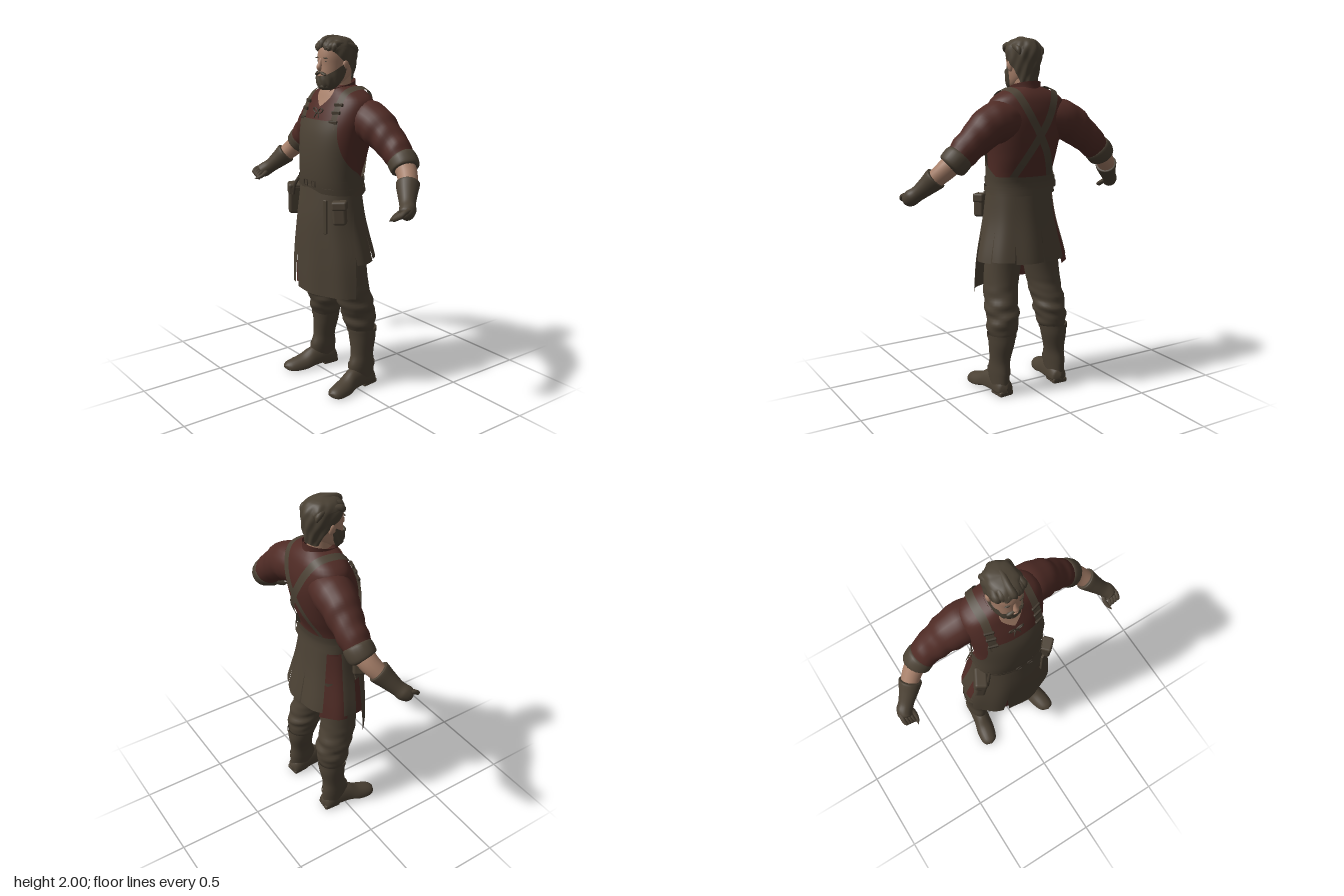
import * as THREE from 'three';
import { mergeVertices } from 'three/addons/utils/BufferGeometryUtils.js';
import { RoundedBoxGeometry } from 'three/addons/geometries/RoundedBoxGeometry.js';

const V = (x, y, z) => new THREE.Vector3(x, y, z);
const TAU = Math.PI * 2;
const mat = (name, color) => new THREE.MeshStandardMaterial({ name, color, side: THREE.DoubleSide });

// Smooth interpolation of rows [key, ...values]
function interp(rows) {
  const slope = (i, c) => {
    const a = rows[Math.max(i - 1, 0)], b = rows[Math.min(i + 1, rows.length - 1)];
    return (b[c] - a[c]) / (b[0] - a[0]);
  };
  return (key) => {
    const k = Math.min(Math.max(key, rows[0][0]), rows[rows.length - 1][0]);
    let i = 0;
    while (i < rows.length - 2 && k > rows[i + 1][0]) i++;
    const h = rows[i + 1][0] - rows[i][0], t = (k - rows[i][0]) / h, t2 = t * t, t3 = t2 * t;
    return rows[i].map((a, c) => c === 0 ? k : a * (2 * t3 - 3 * t2 + 1) + rows[i + 1][c] * (3 * t2 - 2 * t3)
      + h * (slope(i, c) * (t3 - 2 * t2 + t) + slope(i + 1, c) * (t3 - t2)));
  };
}

// Grid surface from f(u, v)
function patch(f, nu = 32, nv = 24) {
  const pos = [], idx = [], w = nu + 1;
  for (let j = 0; j <= nv; j++) for (let i = 0; i <= nu; i++) pos.push(...f(i / nu, j / nv).toArray());
  for (let j = 0; j < nv; j++) for (let i = 0; i < nu; i++) {
    const a = j * w + i;
    idx.push(a, a + 1, a + w + 1, a, a + w + 1, a + w);
  }
  let g = new THREE.BufferGeometry();
  g.setAttribute('position', new THREE.Float32BufferAttribute(pos, 3));
  g.setIndex(idx);
  g = mergeVertices(g, 1e-5);
  g.computeVertexNormals();
  return g;
}

// Upright body surface from rows [y, centreX, halfWidth, frontZ, backZ]; angle 0 faces the front
function loft(rows, p = 1) {
  const at = interp(rows), pw = (s) => Math.sign(s) * Math.abs(s) ** p;
  const s = (y, a, off = 0) => {
    const [, cx, rx, zf, zb] = at(y);
    return V(cx + (rx + off) * pw(Math.sin(a)), y, (zf + zb) / 2 + ((zf - zb) / 2 + off) * pw(Math.cos(a)));
  };
  s.full = (y0, y1, off = 0, nv = 24) => patch((u, v) => s(y0 + (y1 - y0) * v, u * TAU, off), 40, nv);
  return s;
}

// Round limb along points [x, y, z, radius]
function limb(pts, nv = 20, nu = 18, wrinkle = 0) {
  const curve = new THREE.CatmullRomCurve3(pts.map((p) => V(p[0], p[1], p[2])));
  const fr = curve.computeFrenetFrames(nv), rad = interp(pts.map((p, i) => [i / (pts.length - 1), p[3]]));
  return patch((u, v) => {
    const j = Math.round(v * nv), a = u * TAU;
    const r = Math.max(rad(v)[1], 0) * (1 + wrinkle * v * Math.sin(v * 30 + 2.5 * Math.sin(a)) * Math.cos(a + v * 5));
    return curve.getPoint(v).addScaledVector(fr.normals[j], r * Math.cos(a)).addScaledVector(fr.binormals[j], r * Math.sin(a));
  }, nu, nv);
}

function flipped(g) {
  const m = g.clone().scale(-1, 1, 1), a = m.index.array;
  for (let i = 0; i < a.length; i += 3) [a[i], a[i + 1]] = [a[i + 1], a[i]];
  m.computeVertexNormals();
  return m;
}

export function createModel() {
  const root = new THREE.Group();
  root.name = 'craftsman';
  const leather = mat('leather', 0x4b4134), cloth = mat('red cloth', 0x4f2b25), skin = mat('skin', 0xa67f69);
  const hair = mat('hair', 0x4a4134), dark = mat('dark details', 0x40372c);
  const add = (name, geo, m) => {
    const mesh = new THREE.Mesh(geo, m);
    mesh.name = name;
    root.add(mesh);
  };
  const pair = (name, geo, m) => { add(name + 'Left', geo, m); add(name + 'Right', flipped(geo), m); };
  const ball = (x, y, z, sx, sy, sz, rz = 0) => mergeVertices(
    new THREE.SphereGeometry(1, 14, 10).scale(sx, sy, sz).rotateZ(rz).translate(x, y, z));
  const box = (w, h, d, r, x, y, z, ry = 0, rz = 0) => mergeVertices(
    new RoundedBoxGeometry(w, h, d, 2, r).rotateZ(rz).rotateY(ry).translate(x, y, z));

  // Shirt body
  const torso = loft([[1.12, 0, .185, .14, -.12], [1.22, 0, .182, .16, -.115], [1.35, 0, .193, .165, -.16],
    [1.48, 0, .213, .15, -.187], [1.58, 0, .228, .115, -.19], [1.66, 0, .215, .075, -.172],
    [1.7, 0, .16, .055, -.15], [1.735, 0, .068, .03, -.115]], .88);
  add('shirt', torso.full(1.12, 1.735, 0, 36), cloth);
  add('openNeckline', patch((u, v) => torso(1.62 + .095 * v, (u - .5) * .8 * v, .005), 12, 8), skin);
  const collar = loft([[1.63, 0, .1, .085, -.15], [1.7, 0, .083, .068, -.128], [1.76, 0, .085, .062, -.128]]);
  add('collar', patch((u, v) => {
    const e = .2 + .25 * v, a = e + u * (TAU - 2 * e), p = collar(1.665 + .075 * v, a);
    p.y -= .024 * Math.cos(a);
    return p;
  }, 36, 6), cloth);

  // Neckline lacing
  for (const s of [-1, 1]) {
    add('laceLoop', new THREE.TorusGeometry(.016, .004, 6, 14).scale(1.3, .7, 1).rotateZ(s * .4).translate(s * .022, 1.6, .112), dark);
    add('laceEnd', limb([[0, 1.595, .112, .004], [s * .015, 1.575, .121, .004], [s * .02, 1.56, .127, .003]], 6, 6), dark);
  }

  // Sleeves, forearms, gauntlets
  pair('sleeve', limb([[.06, 1.56, -.08, .085], [.165, 1.555, -.08, .11], [.245, 1.532, -.085, .109], [.32, 1.48, -.094, .095],
    [.4, 1.415, -.1, .083], [.47, 1.35, -.095, .072]], 40, 22, .06), cloth);
  pair('rolledCuff', limb([[.43, 1.39, -.1, .06], [.44, 1.38, -.1, .078], [.465, 1.355, -.098, .081],
    [.487, 1.33, -.092, .075], [.492, 1.325, -.09, .05]], 14), leather);
  pair('forearm', limb([[.45, 1.37, -.098, .06], [.52, 1.305, -.075, .054], [.6, 1.22, -.01, .042]]), skin);
  pair('gauntlet', limb([[.553, 1.272, -.05, .04], [.555, 1.27, -.048, .062], [.59, 1.228, -.015, .052],
    [.63, 1.185, .02, .042], [.658, 1.16, .045, .044], [.668, 1.145, .07, .036], [.67, 1.137, .09, .002]], 28), leather);
  for (let i = 0; i < 4; i++) {
    const x = .638 + i * .016, y = 1.135 + i * .008;
    pair('finger' + i, limb([[x, y + .015, .06, .013], [x + .003, y + .006, .092, .012],
      [x - .004, y - .015, .112, .011], [x - .016, y - .025, .104, .002]], 10, 8), leather);
  }
  pair('thumb', limb([[.635, 1.165, .035, .016], [.618, 1.14, .075, .013], [.622, 1.122, .112, .011], [.63, 1.118, .14, .001]], 10, 8), leather);

  // Trousers and boots
  const hips = loft([[.78, 0, .1, .06, -.08], [.9, 0, .19, .12, -.13], [1.2, 0, .18, .15, -.11]]);
  add('trouserSeat', hips.full(.78, 1.2), leather);
  const leg = loft([[.33, .172, .066, .005, -.125], [.37, .166, .084, .03, -.148], [.43, .16, .09, .045, -.152],
    [.5, .157, .093, .068, -.142], [.6, .146, .096, .1, -.115], [.75, .125, .104, .108, -.105], [.95, .1, .105, .11, -.125]]);
  pair('trouserLeg', patch((u, v) => {
    const y = .33 + .62 * v, a = u * TAU, fold = Math.max(0, 1 - Math.abs(y - .46) / .19);
    return leg(y, a, fold * (.005 * Math.sin(y * 62 + 2.5 * Math.sin(a + .6)) + .003 * Math.sin(y * 105 - 3 * Math.cos(a))));
  }, 28, 48), leather);
  const shaft = loft([[.01, .187, .045, -.035, -.138], [.05, .188, .047, .01, -.138], [.13, .187, .053, .03, -.138], [.2, .184, .056, .01, -.132],
    [.3, .176, .073, .012, -.148], [.355, .173, .08, .018, -.148]]);
  pair('bootShaft', shaft.full(.01, .355), leather);
  pair('bootTopBand', shaft.full(.335, .358, .004, 3), leather);
  pair('ankleStrap', shaft.full(.12, .145, .004, 3), leather);
  pair('bootHeel', box(.09, .03, .1, .01, .186, .015, -.09, .08), leather);
  // Rows: z, centre x, half width, height, sole height
  const foot = interp([[-.145, .183, .004, .05, .02], [-.13, .184, .044, .085, .016], [-.05, .187, .052, .13, .018], [.03, .196, .055, .118, .016],
    [.09, .209, .06, .082, .003], [.16, .222, .052, .06, 0], [.19, .226, .035, .047, .006], [.203, .227, .003, .032, .016]]);
  pair('bootFoot', patch((u, v) => {
    const [z, cx, w, h, sole] = foot(-.145 + .348 * v), a = u * TAU, s = Math.sin(a), mid = sole + .014;
    return V(cx + w * Math.cos(a), s > 0 ? mid + (h - mid) * s : mid - .014 * Math.abs(s) ** .4, z);
  }, 24, 30), leather);

  // Apron bib and waist
  const bibEdge = interp([[1.2, 2.3], [1.28, 1.6], [1.35, 1.17], [1.45, .86], [1.555, .7]]);
  add('apronBib', patch((u, v) => {
    const y = 1.2 + .355 * v;
    return torso(y, (2 * u - 1) * bibEdge(y)[1], .014);
  }, 36, 24), leather);
  add('waistWrap', torso.full(1.14, 1.245, .014, 8), leather);
  add('upperBelt', torso.full(1.19, 1.232, .021, 4), leather);
  add('hipBelt', patch((u, v) => {
    const p = torso(1.165 + .032 * v, u * TAU, .026);
    p.y -= .012 * Math.sin(u * TAU);
    return p;
  }, 40, 4), leather);
  for (const x of [-.02, .05]) add('beltBuckle', new THREE.TorusGeometry(.021, .004, 4, 4, TAU).rotateZ(Math.PI / 4).translate(x, 1.21, .184), dark);

  // Apron skirt: front with a slit, back in overlapping panels
  const skirt = loft([[.56, 0, .305, .205, -.24], [.77, 0, .278, .206, -.203], [1, 0, .222, .2, -.155], [1.2, 0, .194, .178, -.126]]);
  const frontEdge = interp([[.58, 1.2], [.85, 1.36], [1.2, 1.7]]);
  const panel = (name, y0, y1, a0, a1, off, m = leather) => add(name, patch((u, v) => {
    const y = y0 + (y1 - y0) * v, l = a0(y), a = l + (a1(y) - l) * u;
    return skirt(y, a, off + .004 * Math.sin(a * 9) * (1 - v));
  }, 24, 24), m);
  const slit = (y) => .065 * Math.max(0, (.78 - y) / .2);
  panel('apronFrontRight', .6, 1.2, (y) => -frontEdge(y)[1] + .08, (y) => -.36 - slit(y), 0);
  panel('apronFrontLeft', .583, 1.2, (y) => -.36 + slit(y), (y) => frontEdge(y)[1], 0);
  panel('shirtTailFront', .6, .85, () => -.53, () => -.2, -.015, cloth);
  [[1.35, 1.98, .77], [2.02, 2.58, .78], [2.61, 3.24, .77], [3.29, 3.9, .77], [4.46, 4.86, .76]].forEach(([a, b, y0], i) =>
    panel('backPanel' + i, y0, 1.2, (y) => a - .1 * (y - .77), (y) => b + .12 * (y - .77), -.004));
  panel('shirtTailBack', .735, 1.2, () => 3.82, () => 4.58, -.012, cloth);
  panel('shirtTailSide', .76, .96, () => 4.82, () => 5.02, .006, cloth);

  // Shoulder straps: over the shoulder and crossed behind
  const on = (x, y, back) => {
    const a = Math.asin(Math.min(1, Math.abs(x) / torso(y, Math.PI / 2).x) ** (1 / .88));
    return V(x, y, torso(y, back ? Math.PI - a : a).z + (back ? -.01 : .012));
  };
  const path = new THREE.CatmullRomCurve3([on(.135, 1.52), on(.137, 1.6), on(.137, 1.655), V(.135, 1.702, .024), V(.135, 1.722, -.05),
    V(.122, 1.708, -.132), on(.095, 1.65, 1), on(.05, 1.56, 1), on(0, 1.475, 1), on(-.06, 1.37, 1), on(-.12, 1.24, 1)]);
  pair('strap', patch((u, v) => {
    const d = (u - .5) * .042;
    return path.getPoint(v).add(V(d, -.4 * d, 0));
  }, 4, 60), leather);
  for (const y of [1.55, 1.6, 1.64]) {
    const p = on(.136, y);
    pair('strapBuckle', box(.054, .018, .014, .004, p.x, y, p.z - .001, .3), dark);
  }

  // Pouches and hanging tools
  add('largePouch', box(.065, .175, .11, .018, -.218, 1.07, .1, -.5, -.12), leather);
  add('largePouchFlap', box(.073, .07, .12, .016, -.216, 1.13, .1, -.5, -.12), leather);
  add('smallPouch', box(.075, .125, .055, .015, .203, 1.065, .12, .75, .06), leather);
  add('smallPouchFlap', box(.084, .05, .063, .012, .204, 1.11, .121, .75, .06), leather);
  add('hangingStrap', box(.022, .19, .014, .004, .142, 1.04, .172, .45), leather);
  add('toolHandle', limb([[-.17, 1.21, .12, .009], [-.19, 1.16, .14, .009], [-.2, 1.1, .145, .008]], 8, 8), dark);
  add('slungBelt', patch((u, v) => skirt(1.165 - .05 * u + .022 * v, -.5 + 1.5 * u, .006), 20, 2), leather);

  // Head and face
  const head = loft([[1.715, 0, .03, .075, 0], [1.74, 0, .056, .09, -.04], [1.78, 0, .071, .095, -.09], [1.84, 0, .079, .094, -.112],
    [1.9, 0, .082, .094, -.116], [1.95, 0, .073, .075, -.1], [1.985, 0, .03, .02, -.05]], .92);
  add('neck', loft([[1.6, 0, .075, .05, -.12], [1.7, 0, .06, .035, -.105], [1.8, 0, .058, .03, -.1]]).full(1.6, 1.8), skin);
  add('head', head.full(1.715, 1.985), skin);
  add('nose', limb([[0, 1.878, .088, .008], [0, 1.85, .098, .011], [0, 1.826, .104, .015], [0, 1.812, .094, .004]], 12, 10), skin);
  pair('ear', ball(.083, 1.84, -.012, .012, .03, .02, -.15), skin);
  pair('eye', ball(.031, 1.862, .084, .01, .004, .005), dark);
  pair('eyebrow', ball(.033, 1.88, .087, .02, .004, .007, -.08), hair);

  // Beard and moustache
  add('beard', patch((u, v) => {
    const a = (2 * u - 1) * 1.6, top = 1.784 + .075 * (Math.abs(a) / 1.6) ** 2, y = 1.716 + (top - 1.716) * v;
    const p = head(y, a, .011 + .003 * Math.sin(a * 14 + v * 6) - .008 * Math.max(0, v - .7));
    p.y -= .006 * (1 - v);
    return p;
  }, 40, 14), hair);
  add('beardBase', ball(0, 1.728, .055, .05, .022, .047), hair);
  pair('moustache', ball(.022, 1.798, .094, .027, .008, .012, -.3), hair);
  add('mouth', ball(0, 1.787, .104, .014, .004, .005), skin);

  // Wavy hair cap with locks swept back from the forehead
  const cap = loft([[1.755, 0, .062, .05, -.108], [1.8, 0, .075, .09, -.118], [1.87, 0, .09, .098, -.128], [1.93, 0, .092, .1, -.125],
    [1.965, 0, .077, .08, -.105], [1.985, 0, .052, .05, -.075], [1.994, 0, .004, 0, -.02]], .95);
  const hairline = interp([[1.755, 2.15], [1.83, 1.85], [1.87, 1.35], [1.9, 1.05], [1.93, .65], [1.948, 0], [2, 0]]);
  add('hair', patch((u, v) => {
    const y = 1.755 + .239 * v, e = Math.max(0, hairline(y)[1]), a = e + u * (TAU - 2 * e);
    return cap(y, a, (.004 * Math.sin(a * 7 + y * 25) + .002 * Math.sin(a * 11 - y * 60)) * Math.min(1, (1 - v) * 6));
  }, 64, 36), hair);
  for (let i = 0; i < 7; i++) {
    const x = (i - 3) * .024, edge = Math.abs(x), w = .006 * Math.sin(i * 2.4), side = .02 * Math.sin(i * 1.9 + 1);
    add('sweptLock' + i, limb([[x + side, 1.928 + w - edge * .3, .096 - edge * .55, .004], [x, 1.95 + w - edge * .25, .088 - edge * .4, .019],
      [x * .9 - side * .6, 1.972 + w - edge * .4, .045, .02], [x * .9 + side * .4, 1.974 - edge * .4, -.03, .02],
      [x, 1.95 - edge * .35, -.09, .016], [x, 1.9, -.118 + edge * .3, .004]], 22, 12), hair);
  }
  return root;
}
